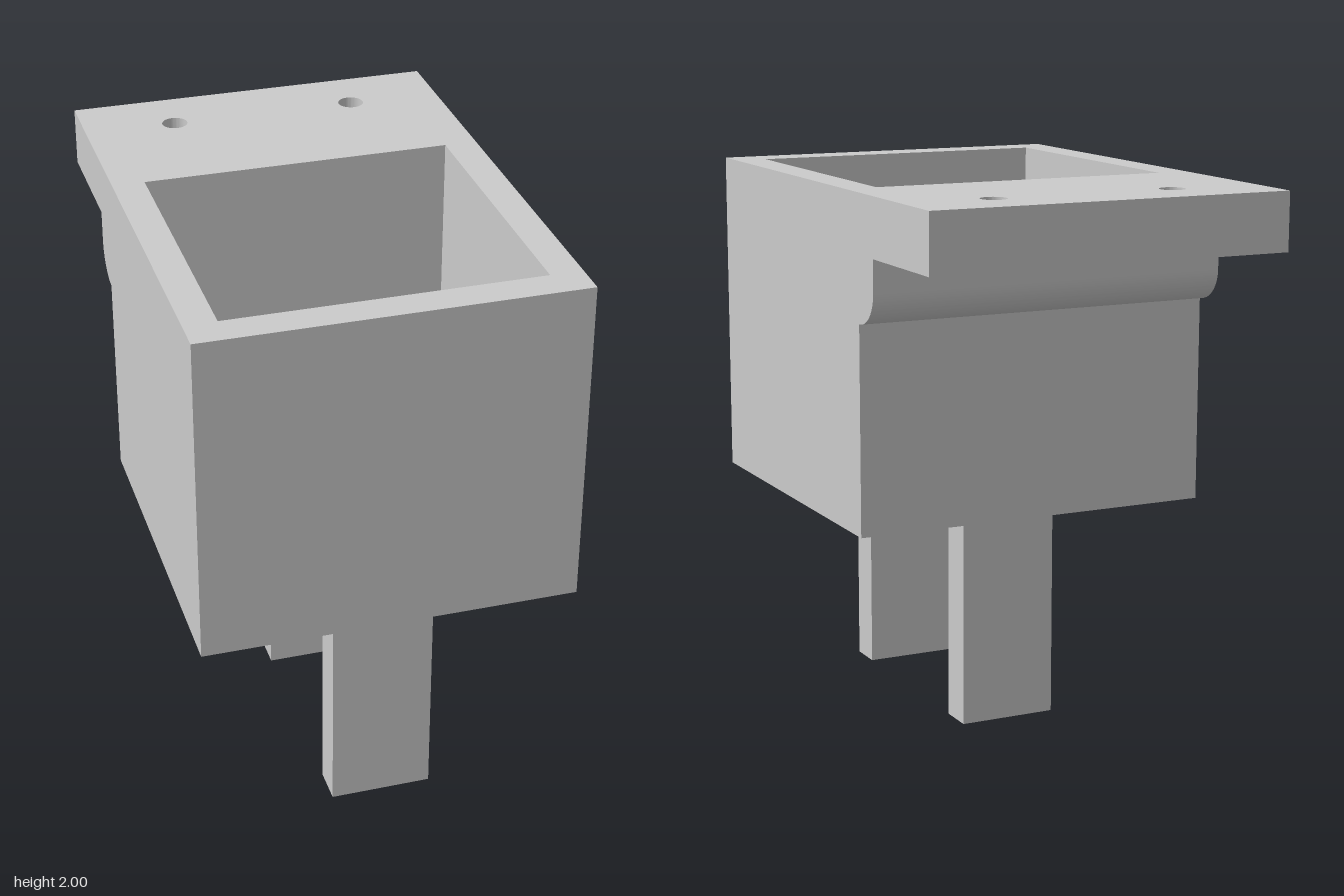
import * as THREE from 'three';
import { toCreasedNormals } from 'three/addons/utils/BufferGeometryUtils.js';

const material = new THREE.MeshStandardMaterial({ color: 0xcccccc });
const HALF = 0.665; // half width of the body
const BACK = -0.346, FRONT = 0.931, TAIL = -0.909; // z of body back, body front, flange end
const BOTTOM = 0.81, FLOOR = 0.92, FLANGE = 1.787, TOP = 1.995;
const CAVITY = [-0.55, 0.55, -0.234, 0.811];

// Rectangle in plan; plan y is -z so that extruding goes upwards
const rect = (x0, x1, z0, z1, Type = THREE.Shape) => new Type([
  new THREE.Vector2(x0, -z1), new THREE.Vector2(x1, -z1),
  new THREE.Vector2(x1, -z0), new THREE.Vector2(x0, -z0),
]);
const circle = (x, z, r) => new THREE.Path().absarc(x, -z, r, 0, Math.PI * 2, true);

// Plan shape with holes, extruded from y0 to y1
function slab(name, shape, holes, y0, y1) {
  shape.holes.push(...holes);
  const geo = new THREE.ExtrudeGeometry(shape, { depth: y1 - y0, bevelEnabled: false, curveSegments: 24 });
  geo.rotateX(-Math.PI / 2).translate(0, y0, 0);
  const mesh = new THREE.Mesh(toCreasedNormals(geo, 0.6), material);
  mesh.name = name;
  return mesh;
}

export function createModel() {
  const group = new THREE.Group();
  group.name = 'mountingBox';
  const legs = [0.757, -0.085];
  const screwHoles = () => legs.map((z) => circle(0.003, z, 0.028));
  const cavity = () => rect(...CAVITY, THREE.Path);

  // Open box: floor, walls, and rim that runs back into a drilled flange
  group.add(slab('floor', rect(-HALF, HALF, BACK, FRONT), screwHoles(), BOTTOM, FLOOR));
  group.add(slab('walls', rect(-HALF, HALF, BACK, FRONT), [cavity()], FLOOR, FLANGE));
  const boltHoles = [-0.335, 0.335].map((x) => circle(x, -0.694, 0.046));
  group.add(slab('rimAndFlange', rect(-HALF, HALF, TAIL, FRONT), [cavity(), ...boltHoles], FLANGE, TOP));

  // Rounded ledge under the flange: profile in (-z, y), extruded across the width
  const r = 0.12, low = 1.552;
  const profile = new THREE.Shape();
  profile.moveTo(-BACK, low);
  profile.absarc(-BACK, low + r, r, -Math.PI / 2, 0, false);
  profile.lineTo(-BACK + r, FLANGE);
  profile.lineTo(-BACK, FLANGE);
  const ledgeGeo = new THREE.ExtrudeGeometry(profile, { depth: 2 * HALF, bevelEnabled: false, curveSegments: 20 });
  ledgeGeo.translate(0, 0, -HALF).rotateY(Math.PI / 2);
  const ledge = new THREE.Mesh(toCreasedNormals(ledgeGeo, 0.6), material);
  ledge.name = 'roundedLedge';
  group.add(ledge);

  // Two flat legs, each drilled along its length
  legs.forEach((z, i) => {
    group.add(slab(i ? 'backLeg' : 'frontLeg', rect(-0.177, 0.183, z - 0.064, z + 0.064),
      [circle(0.003, z, 0.028)], 0.004, BOTTOM));
  });

  // The whole piece leans back very slightly
  group.rotation.x = -0.0055;
  return group;
}
